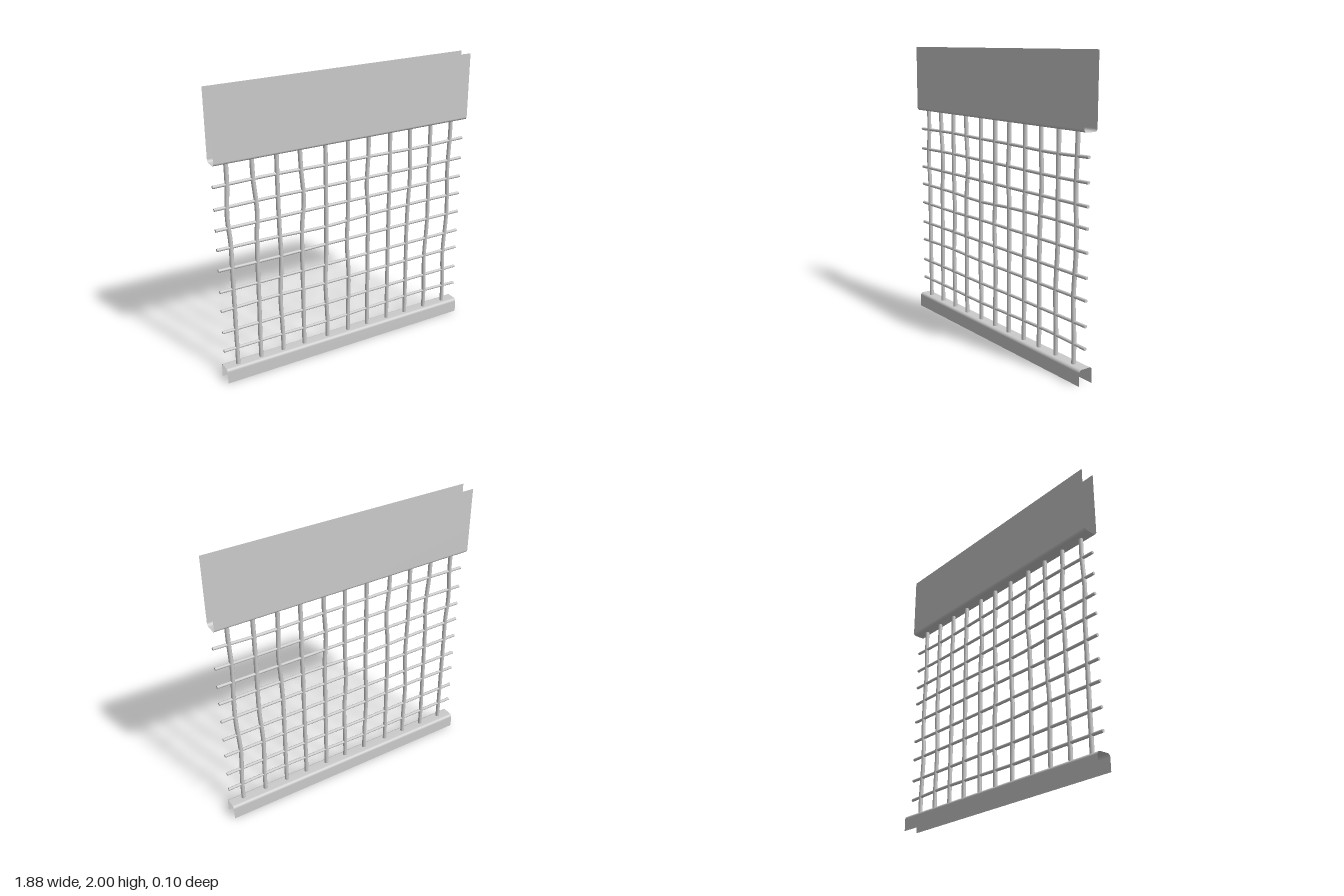
import * as THREE from 'three';

const HALF_W = 0.94;
const HALF_D = 0.05;
const ROD_Z = 0.007;

const metal = new THREE.MeshStandardMaterial({ color: 0xcccccc });
const sheet = new THREE.MeshStandardMaterial({ color: 0xcccccc, side: THREE.DoubleSide });

// Thin folded U-channel: two legs to legY joined by a rounded web at webY
function channel(name, webY, legY) {
  const dir = Math.sign(legY - webY);
  const r = 0.02, steps = 6;
  const profile = [[HALF_D, legY]];
  for (let i = 0; i <= steps; i++) {
    const a = (i / steps) * Math.PI / 2;
    profile.push([HALF_D - r + r * Math.cos(a), webY + dir * r * (1 - Math.sin(a))]);
  }
  const half = profile.length;
  for (let i = half - 1; i >= 0; i--) profile.push([-profile[i][0], profile[i][1]]);

  const geo = new THREE.PlaneGeometry(2 * HALF_W, 1, 1, profile.length - 1);
  const pos = geo.attributes.position;
  for (let i = 0; i < pos.count; i++) {
    const [z, y] = profile[Math.floor(i / 2)];
    pos.setXYZ(i, pos.getX(i), y, z);
  }
  geo.computeVertexNormals();
  const mesh = new THREE.Mesh(geo, sheet);
  mesh.name = name;
  return mesh;
}

// Slightly wavy rod with closed ends
function rod(name, points, radius) {
  const group = new THREE.Group();
  group.name = name;
  const curve = new THREE.CatmullRomCurve3(points);
  group.add(new THREE.Mesh(new THREE.TubeGeometry(curve, 32, radius, 10), metal));
  for (const t of [0, 1]) {
    const cap = new THREE.Mesh(new THREE.CircleGeometry(radius, 10), metal);
    const out = curve.getTangent(t).multiplyScalar(t ? 1 : -1);
    cap.position.copy(curve.getPoint(t));
    cap.quaternion.setFromUnitVectors(new THREE.Vector3(0, 0, 1), out);
    group.add(cap);
  }
  return group;
}

export function createModel() {
  const model = new THREE.Group();
  model.name = 'meshPanel';

  model.add(channel('upperChannel', 1.535, 2));
  model.add(channel('lowerChannel', 0.105, 0));

  // Upright rods: base x, then sideways offsets at the inner heights
  const heights = [0.075, 0.25, 0.52, 0.8, 1.0, 1.18, 1.4, 1.555];
  const uprights = [
    [-0.845, 0, 0, 0, 0, -0.012, 0],
    [-0.675, 0, 0.004, 0.006, 0.01, 0.02, 0.003],
    [-0.507, 0, -0.008, 0.008, 0.003, 0, 0],
    [-0.345, 0, 0, 0, 0.004, 0.021, 0.006],
    [-0.16, 0, -0.011, -0.002, 0, 0, 0],
    [0.007, 0, 0.007, -0.008, 0, 0.002, 0],
    [0.167, 0, 0, 0, 0, -0.013, -0.003],
    [0.335, 0, 0, 0, 0, 0.003, 0],
    [0.495, 0, -0.002, -0.004, 0.002, 0.011, 0.002],
    [0.665, 0, -0.01, 0.004, 0.003, 0, 0],
    [0.837, 0, -0.013, 0.003, 0, -0.009, -0.002],
  ];
  uprights.forEach(([x, ...off], i) => {
    const pts = heights.map((y, k) =>
      new THREE.Vector3(x + (off[k - 1] ?? 0), y, ROD_Z));
    model.add(rod('uprightRod' + (i + 1), pts, 0.0145));
  });

  // Cross rods: base y, then vertical offsets along the width
  const stations = [-HALF_W, -0.55, -0.17, 0.17, 0.6, HALF_W];
  const crossRods = [
    [0.23, 0, 0, -0.004, 0.003, 0.01, 0],
    [0.372, 0, 0, -0.003, 0, 0, 0],
    [0.532, 0, 0.006, -0.002, 0, 0, 0],
    [0.672, 0, 0, 0, 0, 0, 0],
    [0.825, 0, -0.004, 0, 0, 0, 0],
    [0.97, 0, -0.004, -0.015, -0.002, 0.004, 0],
    [1.103, 0, 0, 0, 0, 0, 0],
    [1.243, 0, 0.005, 0.002, 0, -0.004, 0],
    [1.392, 0, 0.006, 0, -0.002, -0.009, 0],
  ];
  crossRods.forEach(([y, ...off], i) => {
    const pts = stations.map((x, k) => new THREE.Vector3(x, y + off[k], ROD_Z));
    model.add(rod('crossRod' + (i + 1), pts, 0.0105));
  });

  return model;
}
